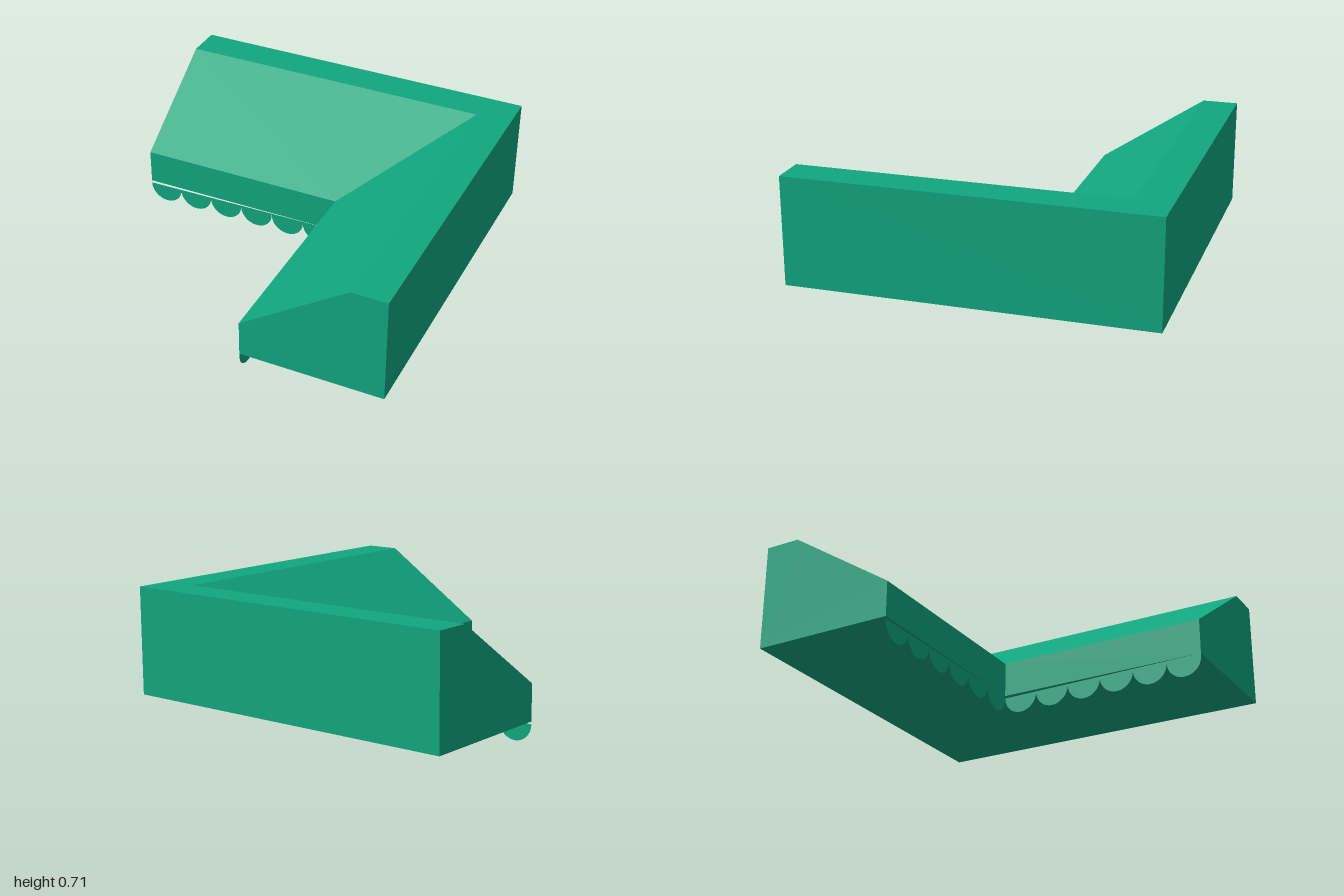
import * as THREE from 'three';

const EAVE = 0.115;   // underside of the solid body
const DEPTH = 0.8;    // depth of each wing, outer wall to inner edge
const SCALLOPS = 6;

// Wing cross-section: [distance in from the outer wall, height]
const PROFILE = [[0, EAVE], [0, 0.715], [0.2, 0.715], [DEPTH, 0.315], [DEPTH, EAVE]];

// Sweep the cross-section around the mitred corner and cap both ends
function bodyGeometry() {
  const rings = [
    PROFILE.map(([d, y]) => [-1, y, d - 1]),
    PROFILE.map(([d, y]) => [1 - d, y, d - 1]),
    PROFILE.map(([d, y]) => [1 - d, y, 1]),
  ];
  const pos = [];
  const tri = (a, b, c) => pos.push(...a, ...b, ...c);
  const n = PROFILE.length;
  for (let k = 0; k < 2; k++) {
    const p = rings[k], q = rings[k + 1];
    for (let i = 0; i < n; i++) {
      const j = (i + 1) % n;
      tri(p[i], p[j], q[j]);
      tri(p[i], q[j], q[i]);
    }
  }
  const [start, , end] = rings;
  for (let i = 1; i < n - 1; i++) {
    tri(start[0], start[i + 1], start[i]);
    tri(end[0], end[i], end[i + 1]);
  }
  const geo = new THREE.BufferGeometry();
  geo.setAttribute('position', new THREE.Float32BufferAttribute(pos, 3));
  geo.computeVertexNormals();
  return geo;
}

// Thin hanging strip with a row of rounded scallops, starting at x = 0
function valanceGeometry() {
  const r = 0.1;
  const shape = new THREE.Shape();
  shape.moveTo(0, EAVE);
  for (let i = 0; i < SCALLOPS; i++) {
    shape.absarc(r * (2 * i + 1), r, r, Math.PI, 2 * Math.PI, false);
  }
  shape.lineTo(2 * r * SCALLOPS, EAVE);
  return new THREE.ShapeGeometry(shape, 16);
}

export function createModel() {
  const group = new THREE.Group();
  group.name = 'cornerAwning';
  const color = 0x11a67f;

  const body = new THREE.Mesh(
    bodyGeometry(),
    new THREE.MeshStandardMaterial({ color, flatShading: true })
  );
  body.name = 'awningBody';
  group.add(body);

  // Scalloped valances under the two inner edges
  const cloth = new THREE.MeshStandardMaterial({ color, side: THREE.DoubleSide });
  const strip = valanceGeometry();
  const back = new THREE.Mesh(strip, cloth);
  back.name = 'backWingValance';
  back.position.set(-1, 0, -0.2);
  const side = new THREE.Mesh(strip, cloth);
  side.name = 'leftWingValance';
  side.position.set(0.2, 0, -0.2);
  side.rotation.y = -Math.PI / 2;
  group.add(back, side);

  return group;
}
